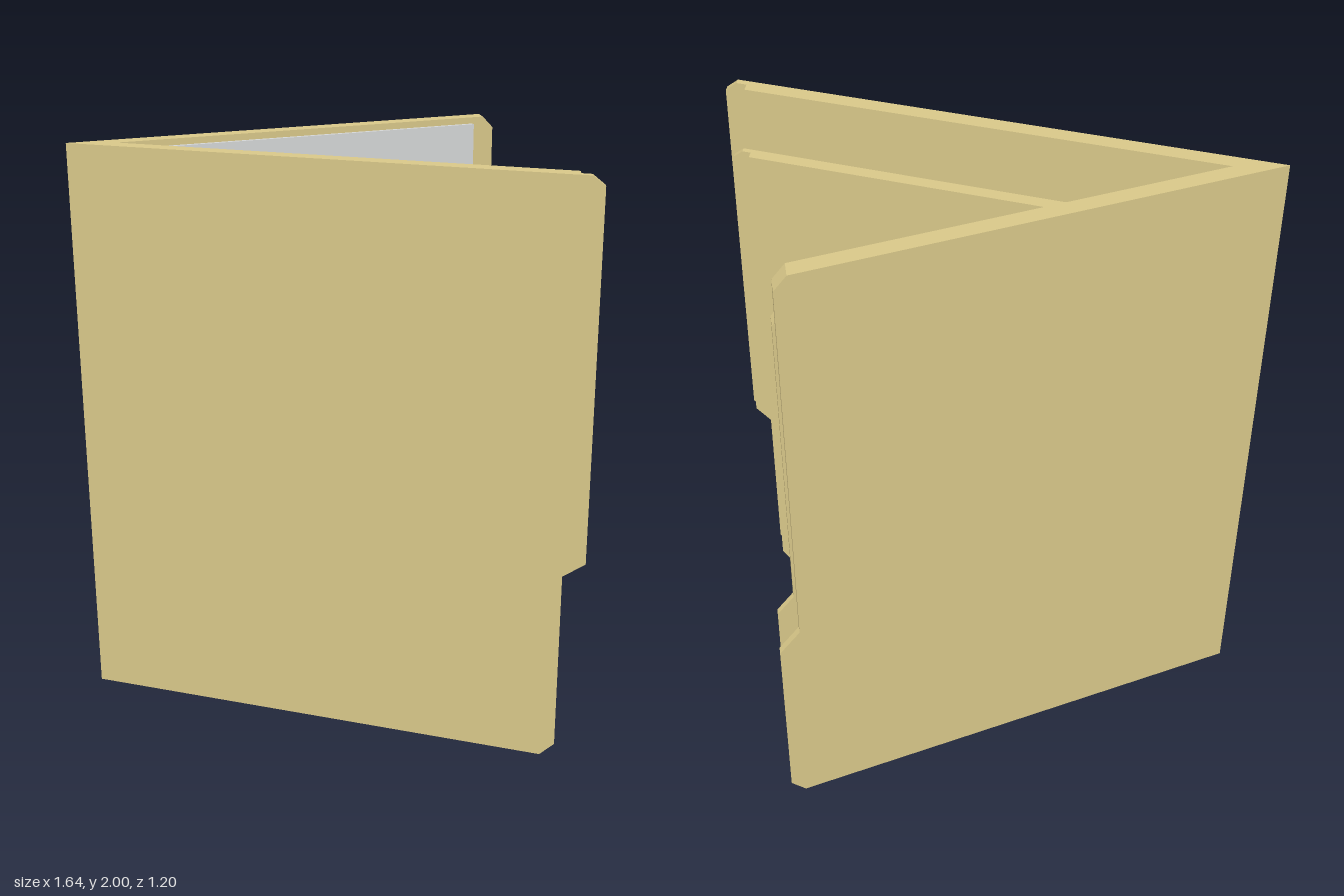
import * as THREE from 'three';

const ANGLE = 0.732;                          // opening angle of the folder
const MITER = 1 / Math.tan(ANGLE / 2);        // the fold is mitred along the half angle
const THICK = 0.06, TAB_THICK = 0.025;

const cardMat = new THREE.MeshStandardMaterial({ color: 0xdac98a });
cardMat.name = 'card';
const paperMat = new THREE.MeshStandardMaterial({ color: 0xd6d8d8 });
paperMat.name = 'paper';

function named(name, geometry, material) {
  const mesh = new THREE.Mesh(geometry, material);
  mesh.name = name;
  return mesh;
}

const outline = (points) => new THREE.Shape(points.map(([u, y]) => new THREE.Vector2(u, y)));

// A board of the given outline; side is +1 or -1, the z direction towards the inside.
function board(points, thickness, side) {
  const geo = new THREE.ExtrudeGeometry(outline(points), { depth: thickness, bevelEnabled: false });
  if (side < 0) geo.translate(0, 0, -thickness);
  const p = geo.attributes.position;
  for (let i = 0; i < p.count; i++) {
    const u = p.getX(i), t = Math.abs(p.getZ(i));
    if (u < 0.01) p.setX(i, u + t * MITER);   // mitred fold
    else p.setX(i, u - t * 0.25);             // slightly slanted free end
  }
  geo.computeVertexNormals();
  return geo;
}

// One folder with its fold on the y axis
function makeFolder(name) {
  const folder = new THREE.Group();
  folder.name = name;

  // Back cover with low index tab
  const back = new THREE.Group();
  back.name = 'backCover';
  back.add(named('backPanel', board([[0, 0], [1.57, 0], [1.57, 1.96], [1.53, 2], [0, 2]], THICK, 1), cardMat));
  back.add(named('backTab', board(
    [[1.5, 0], [1.59, 0], [1.637, 0.05], [1.637, 0.655], [1.57, 0.72], [1.5, 0.72]], TAB_THICK, 1), cardMat));

  // Paper label on the inner face of the tab
  const label = named('tabLabel', new THREE.ShapeGeometry(outline(
    [[1.556, 0], [1.584, 0], [1.631, 0.05], [1.631, 0.655], [1.564, 0.72], [1.556, 0.72]])), paperMat);
  label.position.z = TAB_THICK + 0.002;
  back.add(label);

  // Sheet of paper lying against the back cover
  const sheet = named('paperSheet', new THREE.BoxGeometry(1.185, 1.96, 0.015), paperMat);
  sheet.position.set(0.8725, 1, 0.08);
  back.add(sheet);

  // Front cover with tall upper tab
  const front = new THREE.Group();
  front.name = 'frontCover';
  front.add(named('frontPanel', board([[0, 0], [1.67, 0], [1.72, 0.05], [1.72, 2], [0, 2]], THICK, -1), cardMat));
  front.add(named('frontTab', board(
    [[1.65, 0.68], [1.72, 0.68], [1.795, 0.735], [1.795, 1.97], [1.755, 2], [1.65, 2]], TAB_THICK, -1), cardMat));
  front.rotation.y = -ANGLE;
  // the outer face of the front cover lies on local z = 0
  folder.add(back, front);
  return folder;
}

export function createModel() {
  const model = new THREE.Group();
  model.name = 'nestedFolders';

  const outer = makeFolder('outerFolder');
  outer.position.set(-0.82, 0, -0.6);

  const inner = makeFolder('innerFolder');
  inner.scale.setScalar(0.82);
  inner.position.set(-0.56, 0.165, -0.48);

  model.add(outer, inner);
  return model;
}
